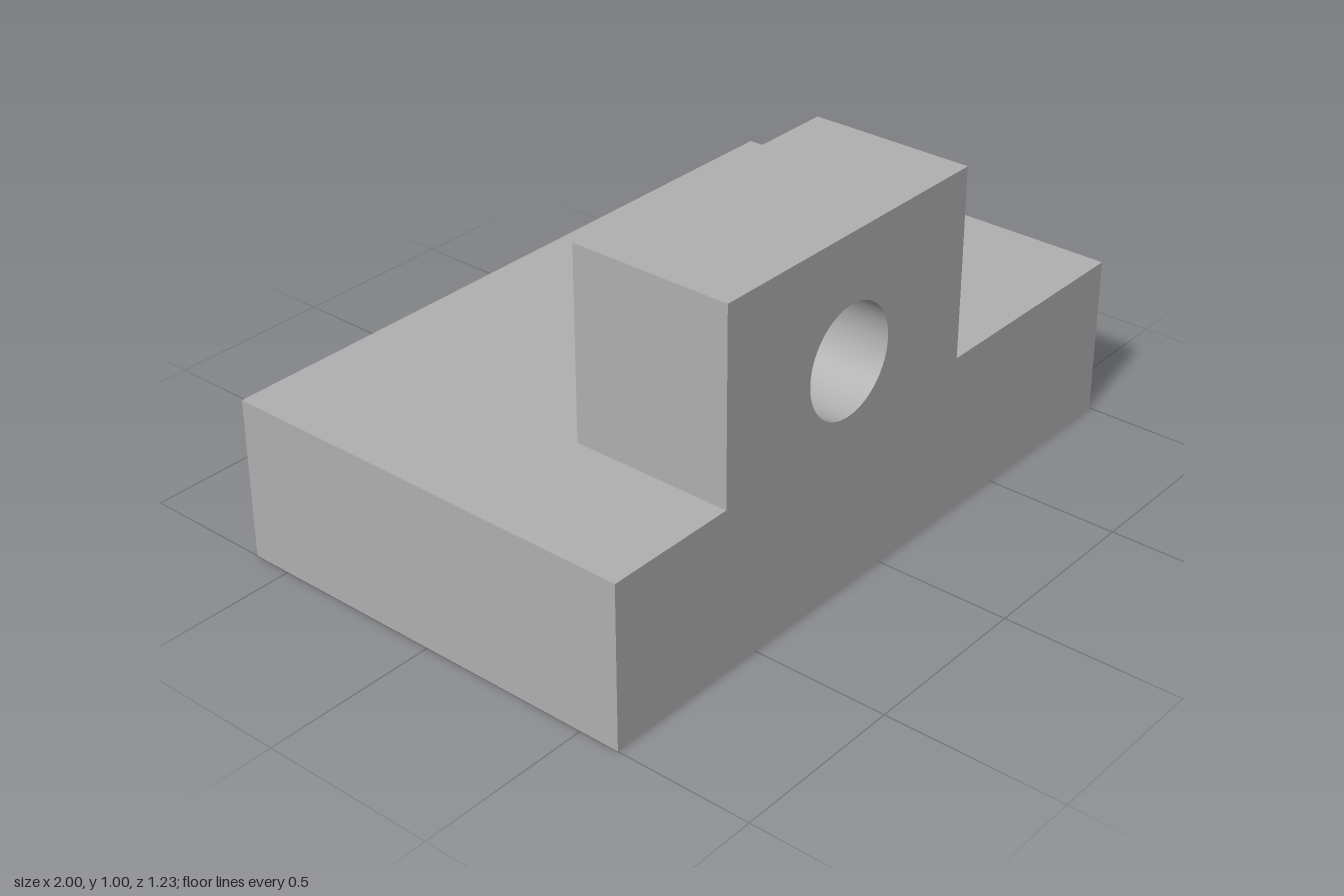
import * as THREE from 'three';

// Dimensions follow a grid of 13 units to the half width
const u = 1 / 13;
const W = 13 * u, D = 8 * u, H = 6 * u, TOP = 13 * u; // base half width, half depth, height; total height
const L = -8 * u, R = 4 * u, BACK = 2 * u;            // upright block: left, right, back
const RAD = 2 * u, POCKET = 4 * u;                    // hole radius, pocket depth
const BORE = [-2 * u, 8.5 * u];                       // cross bore centre (x, y)
const POCKETS = [[-7 * u, -2 * u], [7 * u, -2 * u]];  // pocket centres (x, z)

const outline = (pts, holes = []) => {
  const shape = new THREE.Shape(pts.map(([x, y]) => new THREE.Vector2(x, y)));
  for (const [x, y] of holes) {
    shape.holes.push(new THREE.Path().absarc(x, y, RAD, 0, Math.PI * 2, true));
  }
  return new THREE.ShapeGeometry(shape, 32);
};
const rect = (x0, y0, x1, y1) => [[x0, y0], [x1, y0], [x1, y1], [x0, y1]];

// Inward-facing wall of a round hole, running from y = 0 to y = depth
const holeWall = (depth) =>
  new THREE.LatheGeometry([new THREE.Vector2(RAD, depth), new THREE.Vector2(RAD, 0)], 64);

export function createModel() {
  const model = new THREE.Group();
  const grey = new THREE.MeshStandardMaterial({ color: 0xb0b0b0 });
  grey.name = 'grey';
  const q = Math.PI / 2;
  const add = (name, geometry) => {
    const mesh = new THREE.Mesh(geometry, grey);
    mesh.name = name;
    model.add(mesh);
  };

  // Shared front face of base and upright block, pierced by the bore
  add('frontFace', outline(
    [[-W, 0], [W, 0], [W, H], [R, H], [R, TOP], [L, TOP], [L, H], [-W, H]], [BORE],
  ).translate(0, 0, D));

  // Base: back, sides, top around the upright block, underside with pockets
  add('baseBack', outline(rect(-W, 0, W, H)).rotateY(2 * q).translate(0, 0, -D));
  for (const s of [-1, 1]) {
    add(s > 0 ? 'baseLeftSide' : 'baseRightSide',
      outline(rect(-D, 0, D, H)).rotateY(s * q).translate(s * W, 0, 0));
  }
  add('baseTop', outline(
    [[-W, -D], [L, -D], [L, -BACK], [R, -BACK], [R, -D], [W, -D], [W, D], [-W, D]],
  ).rotateX(-q).translate(0, H, 0));
  add('baseUnderside', outline(rect(-W, -D, W, D), POCKETS).rotateX(q));

  // Upright block: top, back and sides
  add('blockTop', outline(rect(L, -D, R, -BACK)).rotateX(-q).translate(0, TOP, 0));
  add('blockBack', outline(rect(-R, H, -L, TOP), [[-BORE[0], BORE[1]]])
    .rotateY(2 * q).translate(0, 0, BACK));
  add('blockLeftSide', outline(rect(-D, H, -BACK, TOP)).rotateY(q).translate(R, 0, 0));
  add('blockRightSide', outline(rect(BACK, H, D, TOP)).rotateY(-q).translate(L, 0, 0));

  // Bore through the block
  add('boreWall', holeWall(D - BACK).rotateX(q).translate(BORE[0], BORE[1], BACK));

  // Blind pockets in the underside
  for (const [x, z] of POCKETS) {
    add('pocketWall', holeWall(POCKET).translate(x, 0, z));
    add('pocketEnd', new THREE.CircleGeometry(RAD, 64).rotateX(q).translate(x, POCKET, z));
  }
  return model;
}
